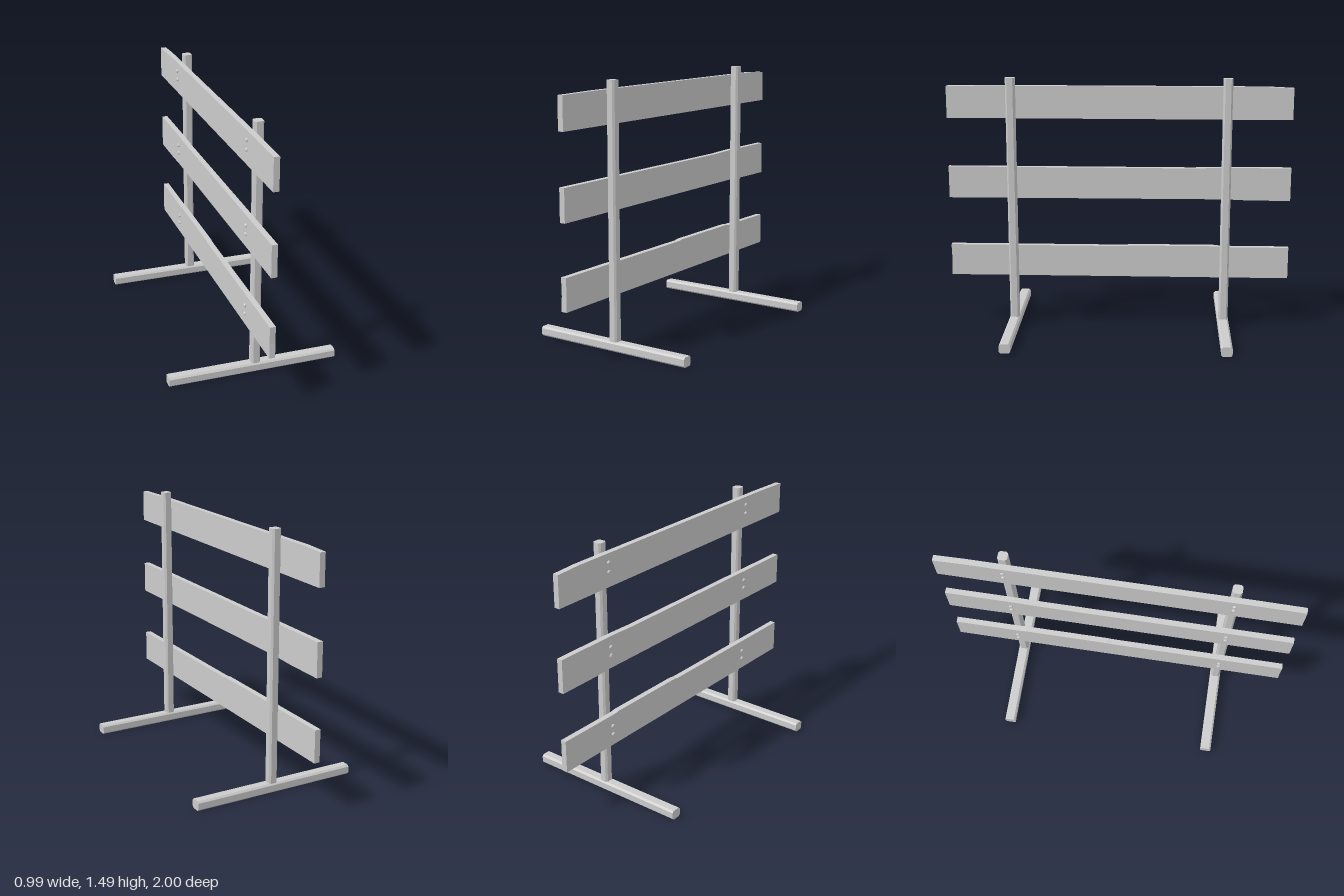
import * as THREE from 'three';

const material = new THREE.MeshStandardMaterial({ color: 0xcccccc, flatShading: true });

// Straight prism along +z from a closed outline
function prism(points, depth) {
  const shape = new THREE.Shape(points.map(([x, y]) => new THREE.Vector2(x, y)));
  return new THREE.ExtrudeGeometry(shape, { depth, bevelEnabled: false });
}

// Rectangle with chamfered corners, centred on the origin
function chamfered(w, h, c) {
  const x = w / 2, y = h / 2;
  return [[x - c, -y], [x, -y + c], [x, y - c], [x - c, y],
    [-x + c, y], [-x, y - c], [-x, -y + c], [-x + c, -y]];
}

export function createModel() {
  const group = new THREE.Group();
  const add = (name, geometry, x, y, z) => {
    const mesh = new THREE.Mesh(geometry, material);
    mesh.name = name;
    mesh.position.set(x, y, z);
    group.add(mesh);
  };

  // Posts standing on cross feet
  const post = prism(chamfered(0.052, 0.054, 0.01), 1.437).rotateX(-Math.PI / 2);
  const foot = prism(chamfered(0.064, 0.056, 0.01), 0.986).rotateY(Math.PI / 2);

  // Domed bolt head pointing to -x
  const bolt = new THREE.LatheGeometry([[0.012, 0], [0.012, 0.005], [0.008, 0.01], [0, 0.011]]
    .map(([r, y]) => new THREE.Vector2(r, y)), 8).rotateZ(Math.PI / 2);

  for (const z of [0.623, -0.623]) {
    add('post', post, 0.0125, 0.055, z);
    add('foot', foot, -0.495, 0.028, z);
    for (const y of [1.39, 1.337, 0.905, 0.855, 0.422, 0.37]) add('bolt', bolt, -0.046, y, z);
  }

  // Slightly uneven boards, outlined as [-z, y]
  const boards = {
    topBoard: [[-1, 1.252], [1, 1.252], [1, 1.434], [0.85, 1.441], [-0.75, 1.441], [-1, 1.437]],
    middleBoard: [[-1, 0.778], [0.63, 0.781], [0.75, 0.776], [1, 0.775],
      [1, 0.969], [0.6, 0.969], [0.43, 0.964], [-1, 0.964]],
    bottomBoard: [[-1, 0.303], [1, 0.303], [1, 0.49], [0.6, 0.49], [0.57, 0.495],
      [0.07, 0.495], [0.04, 0.49], [-1, 0.49], [-0.997, 0.39]],
  };
  for (const [name, outline] of Object.entries(boards)) {
    add(name, prism(outline, 0.033).rotateY(Math.PI / 2), -0.047, 0, 0);
  }
  return group;
}
